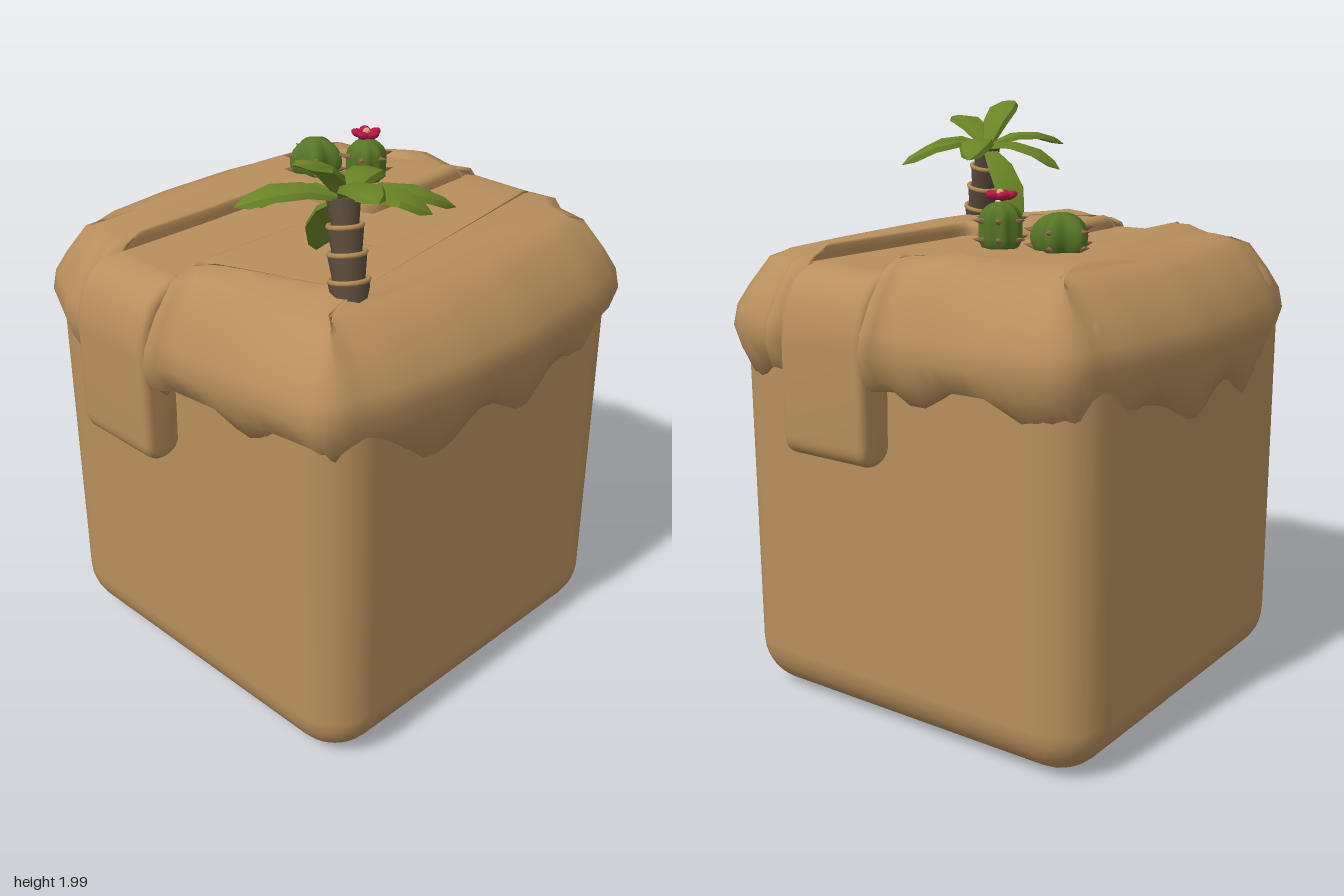
import * as THREE from 'three';
import { toCreasedNormals } from 'three/addons/utils/BufferGeometryUtils.js';
import { RoundedBoxGeometry } from 'three/addons/geometries/RoundedBoxGeometry.js';

const V = (x, y, z) => new THREE.Vector3(x, y, z);
const mat = (name, color, side = THREE.FrontSide) => {
  const m = new THREE.MeshStandardMaterial({ color, side });
  m.name = name;
  return m;
};

// Joins equal-length closed rings of points into one skin.
function loft(rings) {
  const n = rings[0].length, index = [];
  for (let i = 0; i < rings.length - 1; i++) {
    for (let j = 0; j < n; j++) {
      const k = (j + 1) % n, a = i * n + j, b = i * n + k;
      index.push(a, a + n, b + n, a, b + n, b);
    }
  }
  const g = new THREE.BufferGeometry().setFromPoints(rings.flat());
  g.setIndex(index);
  g.computeVertexNormals();
  return g;
}

// Draped sand: outer points hang over the block, inner points drop to the path.
function drape(center, outer, inner, reverse) {
  const corners = [...outer.map(p => [...p, 1]), ...inner.map(p => [...p, 0])];
  if (reverse) corners.reverse();
  const pts = [];
  corners.forEach((a, i) => {
    const b = corners[(i + 1) % corners.length];
    const n = Math.max(1, Math.ceil(Math.hypot(b[0] - a[0], b[1] - a[1]) / 0.07));
    for (let s = 0; s < n; s++) pts.push(a.map((c, q) => c + (b[q] - c) * s / n));
  });
  const outRows = [[0.2, 1.545], [0.13, 1.52], [0.06, 1.43], [0.015, 1.36], [0, 1.29], [0.025, 1.21], [0.06, 0], [0.14, 0.03]];
  const inRows = [[0.07, 1.572], [0.03, 1.578], [0.01, 1.57], [0, 1.55], [0, 1.5], [0, 1.4], [0, 1.3], [0, 1.25]];
  const rings = outRows.map((o, r) => pts.map(([x, z, w]) => {
    const nx = Math.sign(x) * Math.abs(x / 0.78) ** 6, nz = Math.sign(z) * Math.abs(z / 0.8) ** 6;
    const l = Math.hypot(nx, nz) || 1;
    const hem = 1.12 + 0.045 * Math.sin(17 * x + 15 * z) + 0.06 * Math.abs(nz / l) - 0.03 * Math.abs(nx / l);
    const lip = Math.max(0, 1 - Math.hypot(Math.abs(x) - 0.17, 0) / 0.25) * (r < 3 ? 0.05 : 0);
    const oy = (r > 5 ? hem + o[1] : o[1]) + lip;
    const d = V(x - center[0], 0, z - center[1]).normalize();
    const [ii, iy] = inRows[r];
    return V(x - w * o[0] * nx / l - (1 - w) * ii * d.x, w * oy + (1 - w) * iy,
      z - w * o[0] * nz / l - (1 - w) * ii * d.z);
  }));
  const mid = V(center[0], 1.57, center[1]);
  const toward = t => rings[0].map(p => {
    const q = mid.clone().lerp(p, t);
    q.y = 1.57 + (p.y - 1.57) * t * t;
    return q;
  });
  return loft([toward(0), toward(0.4), toward(0.75), ...rings]);
}

// Pushes vertices in and out around the y axis to make cactus ribs.
function ribbed(g, count, depth) {
  const p = g.attributes.position;
  for (let i = 0; i < p.count; i++) {
    const k = 1 + depth * Math.cos(count * Math.atan2(p.getZ(i), p.getX(i)));
    p.setXYZ(i, p.getX(i) * k, p.getY(i), p.getZ(i) * k);
  }
  g.computeVertexNormals();
  return g;
}

export function createModel() {
  const model = new THREE.Group();
  const sand = mat('sand', 0xb88f5c, THREE.DoubleSide);
  const leafGreen = mat('leaf green', 0x6a8526);
  const cactusGreen = mat('cactus green', 0x567526);
  const bark = mat('bark', 0x5e4e3e);
  const rope = mat('bark ring', 0xb48c54);
  const thorn = mat('thorn', 0x8e6a4a);
  const pink = mat('petal red', 0xb81644);
  const cream = mat('flower heart', 0xe0a07c);
  const add = (name, g, m, parent = model) => {
    const mesh = new THREE.Mesh(g, m);
    mesh.name = name;
    parent.add(mesh);
    return mesh;
  };

  // Sandstone block
  add('block', new RoundedBoxGeometry(1.4, 1.49, 1.4, 4, 0.17), sand).position.y = 0.745;

  // Sand cover, one slab each side of the winding path
  add('rightSandCover', drape([-0.5, -0.4],
    [[-0.29, 0.78], [-0.32, 0.82], [-0.37, 0.8], [-0.46, 0.78], [-0.67, 0.68], [-0.745, 0.45], [-0.775, 0.2],
      [-0.78, -0.1], [-0.74, -0.45], [-0.69, -0.68], [-0.62, -0.74], [-0.4, -0.775], [-0.05, -0.79], [0, -0.84], [0.03, -0.8]],
    [[0.03, -0.6], [0.05, -0.14], [0.01, -0.12], [-0.25, -0.08], [-0.3, -0.03], [-0.29, 0.3], [-0.29, 0.6]], true), sand);
  add('leftSandCover', drape([0.5, 0.4],
    [[0, 0.8], [0.02, 0.84], [0.07, 0.79], [0.35, 0.765], [0.62, 0.73], [0.69, 0.68], [0.745, 0.45], [0.775, 0.2],
      [0.78, -0.1], [0.74, -0.5], [0.69, -0.68], [0.61, -0.74], [0.45, -0.78], [0.39, -0.83], [0.34, -0.8]],
    [[0.34, -0.6], [0.32, 0.1], [0.3, 0.13], [0.04, 0.16], [0, 0.2], [0, 0.6]], false), sand);

  // Path surface between the slabs
  const path = new THREE.Shape([[-0.33, -0.66], [0.03, -0.66], [0.03, -0.2], [0.37, -0.2], [0.37, 0.66], [0, 0.66],
    [0, 0.08], [-0.33, 0.08]].map(p => new THREE.Vector2(...p)));
  const pathTop = new THREE.ExtrudeGeometry(path, { depth: 0.1, bevelEnabled: false });
  add('path', pathTop.rotateX(-Math.PI / 2).translate(0, 1.43, 0), sand);

  // Path ends folding down over front and back
  const s = new THREE.Shape();
  s.moveTo(0.58, 1.505);
  s.lineTo(0.66, 1.505);
  s.quadraticCurveTo(0.79, 1.48, 0.795, 1.3);
  s.lineTo(0.795, 1);
  s.quadraticCurveTo(0.795, 0.955, 0.755, 0.955);
  s.quadraticCurveTo(0.71, 0.955, 0.71, 1);
  s.lineTo(0.68, 1.3);
  s.lineTo(0.58, 1.42);
  const tongue = toCreasedNormals(new THREE.ExtrudeGeometry(s, {
    depth: 0.29, bevelSize: 0.025, bevelThickness: 0.025, bevelSegments: 3, curveSegments: 8,
  }).rotateY(-Math.PI / 2).translate(-0.03, 0, 0), 0.7);
  add('frontPathEnd', tongue, sand);
  add('backPathEnd', tongue, sand).rotation.y = Math.PI;

  // Cacti with rows of thorns along the ribs
  const thorns = (parent, count, radius, heights) => {
    for (const y of heights) for (let i = 0; i < count; i++) {
      const a = i / count * Math.PI * 2, c = add('thorn', new THREE.ConeGeometry(0.013, 0.04, 5), thorn, parent);
      c.position.set(Math.cos(a) * radius, y, Math.sin(a) * radius);
      c.quaternion.setFromUnitVectors(V(0, 1, 0), V(Math.cos(a), 0.15, Math.sin(a)).normalize());
    }
  };
  const barrel = new THREE.Group();
  barrel.name = 'barrelCactus';
  barrel.position.set(-0.32, 1.61, -0.23);
  barrel.rotation.y = 0.5;
  add('barrelBody', ribbed(new THREE.SphereGeometry(1, 40, 12).scale(0.084, 0.08, 0.084), 5, 0.16), cactusGreen, barrel);
  thorns(barrel, 5, 0.1, [-0.025, 0.025]);
  const column = new THREE.Group();
  column.name = 'columnCactus';
  column.position.set(-0.13, 1.63, -0.29);
  add('columnBody', ribbed(new THREE.CapsuleGeometry(0.066, 0.06, 6, 40).scale(1, 0.9, 1), 8, 0.06), cactusGreen, column);
  thorns(column, 6, 0.078, [-0.03, 0.03]);
  for (let i = 0; i < 5; i++) {
    const a = i / 5 * Math.PI * 2;
    const petal = add('petal', new THREE.SphereGeometry(0.025, 8, 6).scale(1, 0.55, 0.85), pink, column);
    petal.position.set(Math.cos(a) * 0.03, 0.105, Math.sin(a) * 0.03);
    petal.rotation.set(0, -a, 0.35);
  }
  add('flowerHeart', new THREE.SphereGeometry(0.014, 8, 6), cream, column).position.y = 0.112;
  model.add(barrel, column);

  // Palm trunk: flared segments with rings between, leaning inward
  const base = V(0.49, 1.52, 0.425), crown = V(0.425, 1.83, 0.39);
  const lean = crown.clone().sub(base).normalize();
  for (let i = 0; i < 4; i++) {
    const r = 0.064 - i * 0.004;
    const seg = add('trunkSegment', new THREE.CylinderGeometry(r, r - 0.012, 0.085, 10), bark);
    seg.position.lerpVectors(base, crown, (i + 0.5) / 4);
    seg.quaternion.setFromUnitVectors(V(0, 1, 0), lean);
    if (i === 3) continue;
    const ring = add('trunkRing', new THREE.TorusGeometry(r - 0.005, 0.008, 6, 14).rotateX(Math.PI / 2), rope);
    ring.position.lerpVectors(base, crown, (i + 1) / 4);
    ring.quaternion.copy(seg.quaternion);
  }

  // Palm leaves, each a ridged blade from crown to tip
  const tips = [[0.3, 1.8, 0.11], [0.6, 1.77, 0.1], [0.64, 1.8, 0.25], [0.69, 1.92, 0.53],
    [0.46, 1.99, 0.61], [0.26, 1.83, 0.66], [0.15, 1.75, 0.47], [0.2, 1.57, 0.28]];
  for (const t of tips) {
    const tip = V(...t), dir = tip.clone().sub(crown).normalize();
    const side = dir.clone().cross(V(0, 1, 0)).normalize(), up = side.clone().cross(dir);
    const rings = [[0, 0.004], [0.02, 0.02], [0.35, 0.05], [0.65, 0.058], [0.88, 0.035], [1, 0.002]].map(([u, w]) => {
      const c = crown.clone().lerp(tip, u).addScaledVector(up, 0.04 * Math.sin(Math.PI * u));
      const at = (a, b) => c.clone().addScaledVector(side, a).addScaledVector(up, b);
      const h = Math.min(0.012, w * 0.4);
      return [at(w, -h), at(w * 0.85, h * 0.5), at(0, h), at(-w * 0.85, h * 0.5), at(-w, -h), at(0, -h)];
    });
    add('palmLeaf', toCreasedNormals(loft(rings), 0.5), leafGreen);
  }
  return model;
}
